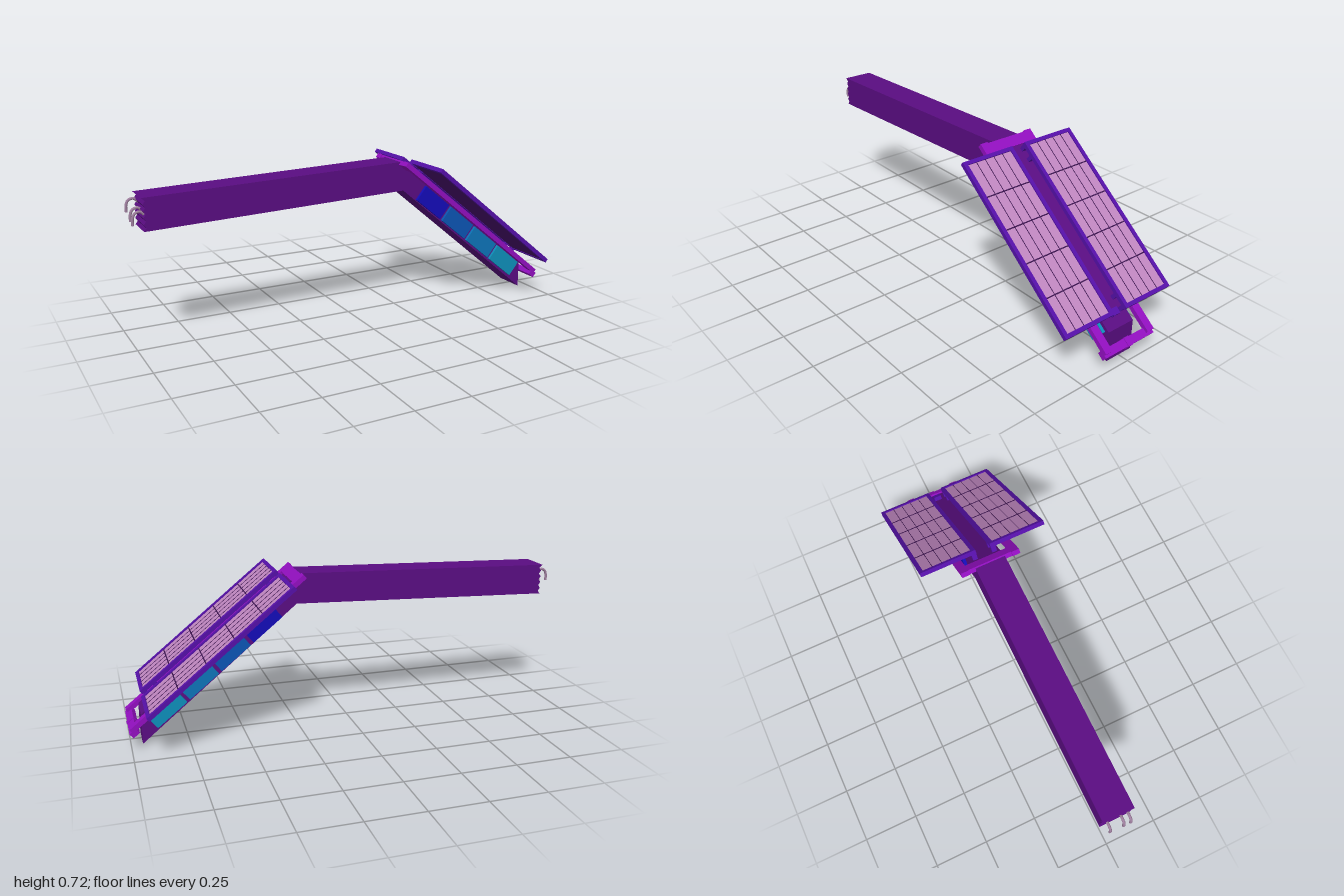
import * as THREE from 'three';

const mat = (color, extra = {}) =>
  new THREE.MeshStandardMaterial({ color, flatShading: true, ...extra });

export function createModel() {
  const model = new THREE.Group();
  const purple = mat(0x5a0d82), frameMat = mat(0x5510a8), railMat = mat(0x920fc0);
  const cellMat = mat(0xc087c0), lineMat = mat(0x3c1450), backMat = mat(0x4a1070);
  const hookMat = new THREE.MeshStandardMaterial({ color: 0xa080a0 });

  const box = (parent, name, material, size, pos) => {
    const mesh = new THREE.Mesh(new THREE.BoxGeometry(...size), material);
    mesh.position.set(...pos);
    mesh.name = name;
    parent.add(mesh);
    return mesh;
  };

  // Bent boom with a toothed rear end
  const outline = new THREE.Shape();
  outline.moveTo(0.24, 0.71);
  outline.lineTo(-0.96, 0.67);
  const teeth = 5;
  for (let i = 0; i < teeth; i++) {
    const y = 0.67 - (i * 0.14) / teeth;
    outline.lineTo(-0.945, y - 0.014);
    outline.lineTo(-0.955, y - 0.14 / teeth);
  }
  outline.lineTo(0.25, 0.575);
  outline.lineTo(0.95, 0);
  outline.lineTo(0.95, 0.139);
  outline.closePath();
  const beamGeo = new THREE.ExtrudeGeometry(outline, { depth: 0.14, bevelEnabled: false });
  beamGeo.translate(0, 0, -0.07);
  const beam = new THREE.Mesh(beamGeo, purple);
  beam.name = 'boom';
  model.add(beam);

  // Curled cable hooks on the rear end
  for (const [y, z] of [[0.625, -0.05], [0.6, 0.015], [0.59, 0.048]]) {
    const path = new THREE.CatmullRomCurve3([
      [-0.94, y], [-0.962, y + 0.02], [-0.985, y + 0.013], [-0.994, y - 0.01], [-0.994, y - 0.035],
    ].map(([px, py]) => new THREE.Vector3(px, py, z)));
    const hook = new THREE.Mesh(new THREE.TubeGeometry(path, 14, 0.006, 8), hookMat);
    hook.name = 'cableHook';
    model.add(hook);
  }

  // Everything below lies along the sloping arm: x runs down it, y out of its top
  const arm = new THREE.Group();
  arm.name = 'slopingArm';
  arm.position.set(0.24, 0.71, 0);
  arm.rotation.z = -0.677;
  model.add(arm);

  // Side modules, dark blue to cyan
  [0x140cb8, 0x0c55b4, 0x0d74b8, 0x0e8eba].forEach((color, i) => {
    const m = mat(color);
    for (const side of [-1, 1]) {
      box(arm, 'sideModule', m, [0.168, 0.08, 0.02], [0.262 + i * 0.185, -0.056, side * 0.074]);
    }
  });

  // Rail frame around the arm
  for (const side of [-1, 1]) {
    box(arm, 'sideRail', railMat, [0.99, 0.022, 0.036], [0.485, -0.008, side * 0.12]);
  }
  box(arm, 'upperRail', railMat, [0.05, 0.022, 0.276], [0.02, -0.008, 0]);
  box(arm, 'lowerRail', railMat, [0.035, 0.026, 0.276], [0.975, -0.024, 0]);
  box(arm, 'railTab', railMat, [0.04, 0.03, 0.024], [0.975, -0.023, 0]);
  box(arm, 'latch', frameMat, [0.03, 0.02, 0.036], [0.85, 0.01, 0]);

  // Pair of framed cell panels on posts
  const buildPanel = () => {
    const panel = new THREE.Group();
    const L = 0.804, W = 0.262, end = 0.017, rim = 0.0175, T = 0.019;
    for (const s of [-1, 1]) {
      box(panel, 'panelEndRim', frameMat, [end, T, W], [s * (L - end) / 2, 0, 0]);
      box(panel, 'panelSideRim', frameMat, [L - 2 * end, T, rim], [0, 0, s * (W - rim) / 2]);
    }
    const l = L - 2 * end, w = W - 2 * rim;
    box(panel, 'panelBack', backMat, [l, 0.006, w], [0, -0.004, 0]);
    box(panel, 'cells', cellMat, [l, 0.005, w], [0, 0.0015, 0]);
    for (let i = 1; i < 5; i++) {
      box(panel, 'rowLine', lineMat, [0.005, 0.002, w], [(i / 5 - 0.5) * l, 0.0048, 0]);
      box(panel, 'columnLine', lineMat, [l, 0.002, 0.0025], [0, 0.0045, (i / 5 - 0.5) * w]);
    }
    return panel;
  };
  for (const side of [-1, 1]) {
    const panel = buildPanel();
    panel.name = side > 0 ? 'frontPanel' : 'backPanel';
    panel.position.set(0.461, 0.037, side * 0.165);
    arm.add(panel);
    for (const x of [0.07, 0.125, 0.795, 0.85]) {
      box(arm, 'panelPost', frameMat, [0.018, 0.034, 0.022], [x, 0.012, side * 0.046]);
    }
  }
  return model;
}
